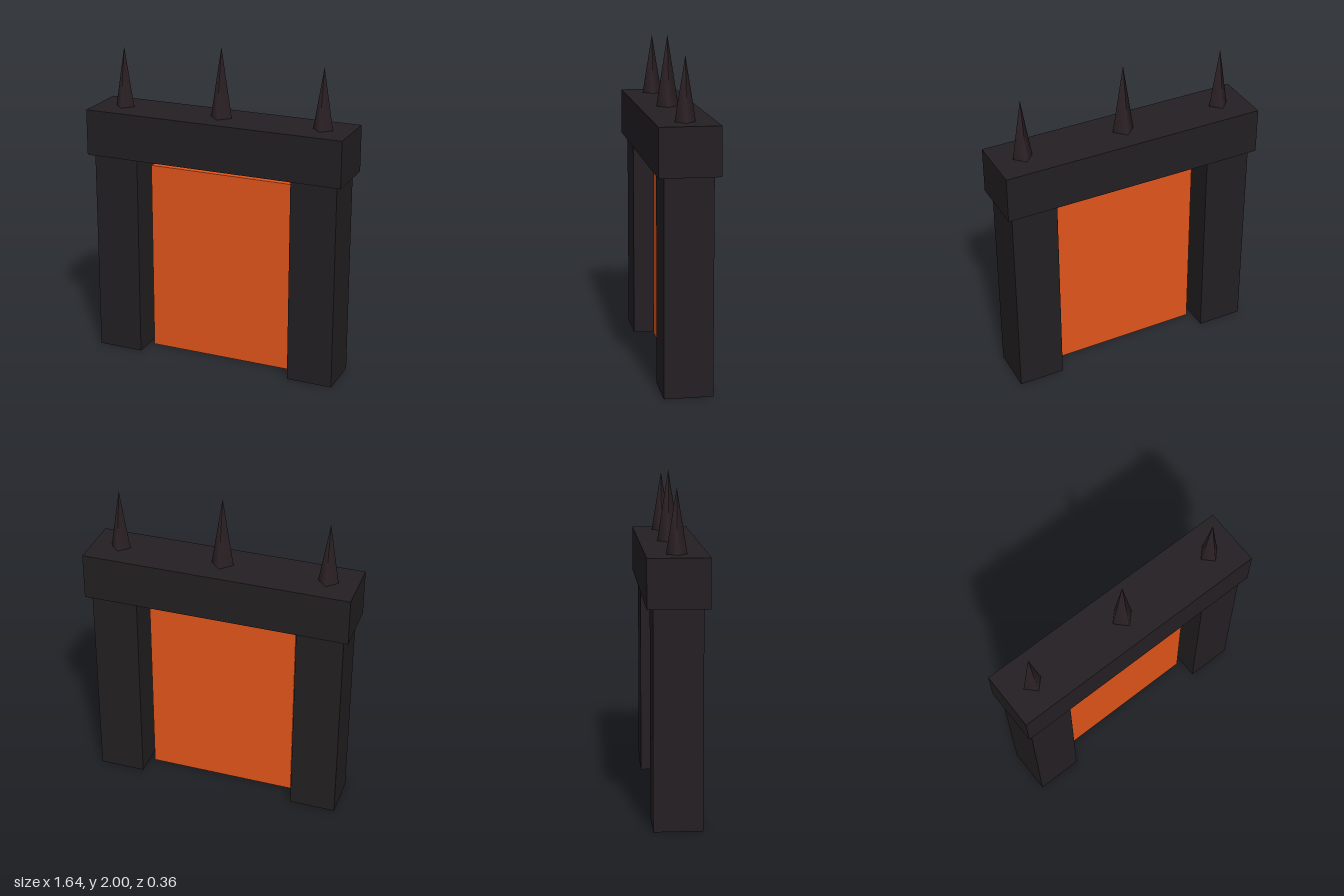
import * as THREE from 'three';

export function createModel() {
  const group = new THREE.Group();
  const stone = new THREE.MeshStandardMaterial({ color: 0x231f22 });
  const spikeStone = new THREE.MeshStandardMaterial({ color: 0x2d2226 });
  const glow = new THREE.MeshStandardMaterial({ color: 0xe0541a });

  const add = (name, geometry, material, x, y) => {
    const mesh = new THREE.Mesh(geometry, material);
    mesh.name = name;
    mesh.position.set(x, y, 0);
    group.add(mesh);
  };

  // Lintel across the top
  add('lintel', new THREE.BoxGeometry(1.64, 0.286, 0.356), stone, 0, 1.429);

  // Thin panel filling the gateway
  add('portalPanel', new THREE.BoxGeometry(0.928, 1.215, 0.036), glow, 0, 0.6075);

  // Four-sided spike standing on the lintel
  const addSpike = (name, x, radius, tip) => {
    const base = 1.571;
    add(name, new THREE.ConeGeometry(radius, tip - base, 4), spikeStone, x, (base + tip) / 2);
  };
  addSpike('centreSpike', 0, 0.068, 2);

  // Mirrored pillars and outer spikes
  for (const [side, s] of [['left', 1], ['right', -1]]) {
    add(side + 'Pillar', new THREE.BoxGeometry(0.286, 1.286, 0.286), stone, s * 0.643, 0.643);
    addSpike(side + 'Spike', s * 0.643, 0.061, 1.943);
  }
  return group;
}
